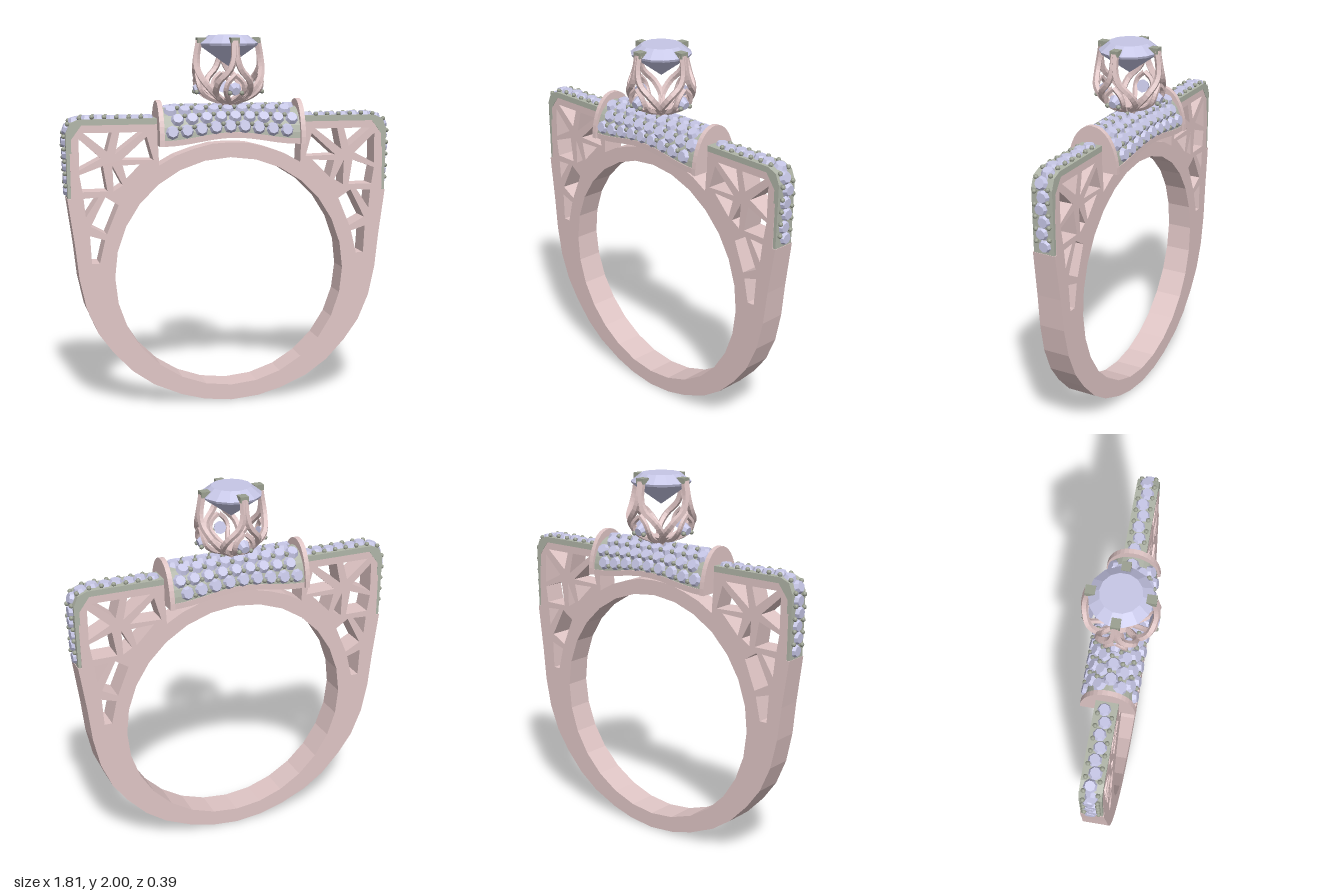
import * as THREE from 'three';
import { mergeGeometries } from 'three/addons/utils/BufferGeometryUtils.js';

const mat = (color, side = THREE.FrontSide) =>
  new THREE.MeshStandardMaterial({ color, flatShading: true, side });
const metal = mat(0xdec4c4);
const setting = mat(0xb0b5a8, THREE.DoubleSide);
const beadMat = mat(0x9a9f90);
const gem = mat(0xc6c6e6);

const V = (x, y, z = 0) => new THREE.Vector3(x, y, z);
const UP = V(0, 1, 0);

function add(parent, name, geometry, material) {
  const mesh = new THREE.Mesh(geometry, material);
  mesh.name = name;
  parent.add(mesh);
  return mesh;
}

// Extrusion centred on z = 0
function slab(shape, depth) {
  return new THREE.ExtrudeGeometry(shape, { depth, bevelEnabled: false, curveSegments: 10 })
    .translate(0, 0, -depth / 2);
}
const polygon = (pts, s = 1) => pts.map(([x, y]) => new THREE.Vector2(x * s, y));

// Small geometry seated at a point and turned to the surface normal
function seat(geometry, pos, normal, spin = 0) {
  const q = new THREE.Quaternion().setFromUnitVectors(UP, normal);
  return geometry.rotateY(spin)
    .applyMatrix4(new THREE.Matrix4().compose(pos, q, V(1, 1, 1)));
}
const stoneGeo = (r = 0.044, h = 0.034) => new THREE.CylinderGeometry(r * 0.6, r, h, 8);
const beadGeo = () => new THREE.IcosahedronGeometry(0.0125, 1);

// Half of the band outline, from the bottom up to the top of the finger band
const OUTLINE = [
  [0, 0.005], [0.15, 0.02], [0.28, 0.055], [0.43, 0.12], [0.545, 0.2], [0.65, 0.31],
  [0.73, 0.42], [0.79, 0.56], [0.825, 0.72], [0.845, 0.9], [0.88, 1.15], [0.86, 1.15],
  [0.863, 1.46], [0.845, 1.52], [0.8, 1.55], [0.4, 1.55], [0.39, 1.315],
  [0.3, 1.365], [0.2, 1.4], [0.1, 1.425], [0, 1.43],
];
// Openings of one lattice shoulder
const WINDOWS = [
  [[0.79, 1.495], [0.64, 1.495], [0.667, 1.395]],
  [[0.815, 1.465], [0.7, 1.36], [0.815, 1.3]],
  [[0.6, 1.495], [0.475, 1.495], [0.625, 1.38]],
  [[0.455, 1.47], [0.42, 1.345], [0.59, 1.35]],
  [[0.585, 1.32], [0.46, 1.325], [0.56, 1.225]],
  [[0.815, 1.275], [0.69, 1.32], [0.668, 1.185], [0.8, 1.185]],
  [[0.64, 1.32], [0.585, 1.215], [0.635, 1.185]],
  [[0.795, 1.15], [0.715, 1.155], [0.785, 1.05]],
  [[0.68, 1.155], [0.61, 1.11], [0.675, 0.955], [0.76, 1.0]],
  [[0.765, 0.95], [0.685, 0.925], [0.715, 0.8], [0.757, 0.8]],
];

function buildBand(root) {
  const left = OUTLINE.slice(1, -1).reverse();
  const shape = new THREE.Shape([...polygon(OUTLINE), ...polygon(left, -1)]);
  const finger = [];
  for (let i = 0; i < 28; i++) {
    const a = (i / 28) * Math.PI * 2;
    finger.push(new THREE.Vector2(0.635 * Math.cos(a), 0.72 + 0.63 * Math.sin(a)));
  }
  shape.holes.push(new THREE.Path(finger));
  for (const s of [1, -1])
    for (const w of WINDOWS) shape.holes.push(new THREE.Path(polygon(w, s)));
  const g = slab(shape, 2);
  // Thicker at the bottom, slimmer at the top
  const p = g.attributes.position;
  for (let i = 0; i < p.count; i++) p.setZ(i, p.getZ(i) * (0.083 - 0.018 * p.getY(i)));
  g.computeVertexNormals();
  add(root, 'bandWithLatticeShoulders', g, metal);
}

function buildShoulder(root, s) {
  const group = new THREE.Group();
  group.name = s > 0 ? 'leftShoulderPave' : 'rightShoulderPave';
  root.add(group);
  const channel = [
    [0.4, 1.566], [0.81, 1.566], [0.86, 1.545], [0.883, 1.49], [0.877, 1.15],
    [0.85, 1.15], [0.855, 1.46], [0.8, 1.535], [0.4, 1.535],
  ];
  add(group, 'channel', slab(new THREE.Shape(polygon(channel, s)), 0.116), setting);

  const path = new THREE.CatmullRomCurve3([
    V(0.41, 1.565), V(0.6, 1.565), V(0.8, 1.565), V(0.858, 1.545),
    V(0.882, 1.49), V(0.88, 1.33), V(0.876, 1.16),
  ]);
  const stones = [], beads = [];
  const n = 13;
  const place = (t, z, lift) => {
    const p = path.getPointAt(t), d = path.getTangentAt(t);
    const normal = V(-d.y * s, d.x, 0);
    p.x *= s;
    return [p.setZ(z).addScaledVector(normal, lift), normal];
  };
  for (let i = 0; i < n; i++) {
    stones.push(seat(stoneGeo(), ...place((i + 0.5) / n, i % 2 ? 0.007 : -0.007, 0), i * 0.7));
    if (i) for (const z of [-0.037, 0.037])
      beads.push(seat(beadGeo(), ...place((i + (z > 0 ? 0.12 : -0.12)) / n, z, 0.008)));
  }
  add(group, 'stones', mergeGeometries(stones), gem);
  add(group, 'beads', mergeGeometries(beads), beadMat);
}

// Saddle surface: arched cross-section with a lower edge that rises mid-way
const lowerEdge = (x) => 1.445 + 0.04 * (0.5 + 0.5 * Math.cos((x / 0.37) * Math.PI));
function saddlePoint(x, a) {
  const b = lowerEdge(x);
  return V(x, b + (1.618 - b) * Math.sin(a), 0.128 * Math.cos(a));
}
function saddleNormal(x, a) {
  return V(0, 0.128 * Math.sin(a), (1.618 - lowerEdge(x)) * Math.cos(a)).normalize();
}

function buildSaddle(root) {
  const group = new THREE.Group();
  group.name = 'saddle';
  root.add(group);
  const g = new THREE.PlaneGeometry(0.74, 1, 16, 14);
  const p = g.attributes.position;
  for (let i = 0; i < p.count; i++) {
    const v = saddlePoint(p.getX(i), (p.getY(i) + 0.5) * Math.PI);
    p.setXYZ(i, v.x, v.y, v.z);
  }
  add(group, 'saddleShell', g, setting);

  // Arched rail closing the underside
  const top = [], bottom = [];
  for (let i = 0; i <= 16; i++) {
    const x = -0.37 + (0.74 * i) / 16;
    top.push([x, lowerEdge(x) + 0.006]);
    bottom.unshift([x, lowerEdge(x) - 0.024]);
  }
  add(group, 'lowerRail', slab(new THREE.Shape(polygon([...top, ...bottom])), 0.262), metal);

  // Domed end plates
  const dome = new THREE.Shape();
  dome.moveTo(-0.143, 1.422);
  dome.lineTo(0.143, 1.422);
  dome.bezierCurveTo(0.14, 1.54, 0.09, 1.658, 0, 1.658);
  dome.bezierCurveTo(-0.09, 1.658, -0.14, 1.54, -0.143, 1.422);
  for (const s of [1, -1]) {
    const plate = add(group, s > 0 ? 'leftEndPlate' : 'rightEndPlate', slab(dome, 0.026), metal);
    plate.rotation.y = Math.PI / 2;
    plate.position.x = s * 0.385;
  }

  // Staggered stones with beads between them
  const stones = [], beads = [];
  const rows = 7, cols = 9;
  for (let r = 0; r < rows; r++) {
    const a = Math.PI * (0.09 + (0.82 * r) / (rows - 1));
    for (let c = 0; c < cols; c++) {
      const x = (c - (cols - 1) / 2) * 0.078 + (r % 2 ? 0.016 : -0.016);
      stones.push(seat(stoneGeo(0.045, 0.036), saddlePoint(x, a), saddleNormal(x, a), r + c * 0.8));
      const bx = x + 0.039, ba = a + 0.1;
      if (c < cols - 1) beads.push(seat(beadGeo(),
        saddlePoint(bx, ba).addScaledVector(saddleNormal(bx, ba), 0.01), UP));
    }
  }
  add(group, 'saddleStones', mergeGeometries(stones), gem);
  add(group, 'saddleBeads', mergeGeometries(beads), beadMat);
}

function buildHead(root) {
  const group = new THREE.Group();
  group.name = 'head';
  root.add(group);
  const profile = [[0, 1.835], [0.155, 1.945], [0.16, 1.957], [0.105, 2], [0, 2]];
  add(group, 'centreStone', new THREE.LatheGeometry(polygon(profile), 14), gem);
  const cup = [[0, 1.6], [0.035, 1.61], [0.045, 1.635], [0.07, 1.665], [0, 1.665]];
  add(group, 'headBase', new THREE.LatheGeometry(polygon(cup), 12), metal);

  // Ribbon through points given as [angle in degrees, height, radius]
  const ribbon = (pts, r) => new THREE.TubeGeometry(new THREE.CatmullRomCurve3(
    pts.map(([d, y, rad]) => {
      const a = THREE.MathUtils.degToRad(d);
      return V(rad * Math.sin(a), y, rad * Math.cos(a));
    })), 18, r, 5);

  const strands = [], petals = [], tips = [], stones = [], beads = [];
  for (let k = 0; k < 4; k++) {
    const d = k * 90, a = THREE.MathUtils.degToRad(d);
    const out = V(Math.sin(a), 0, Math.cos(a));
    for (const s of [1, -1]) {
      strands.push(ribbon([[d + s * 2, 1.97, 0.16], [d + s * 3, 1.88, 0.175],
        [d + s * 10, 1.82, 0.178], [d + s * 30, 1.755, 0.172],
        [d + s * 44, 1.69, 0.125], [d + s * 45, 1.64, 0.03]], 0.018));
      petals.push(ribbon([[d, 1.795, 0.172], [d + s * 13, 1.755, 0.178],
        [d + s * 17, 1.715, 0.17], [d + s * 14, 1.675, 0.125], [d, 1.64, 0.04]], 0.014));
      beads.push(seat(beadGeo(), out.clone().multiplyScalar(0.18)
        .add(V(Math.cos(a) * s * 0.032, 1.7, -Math.sin(a) * s * 0.032)), UP));
    }
    tips.push(new THREE.BoxGeometry(0.046, 0.03, 0.05).translate(0, 1.972, 0.148).rotateY(a));
    const normal = out.clone().setY(-0.3).normalize();
    stones.push(seat(stoneGeo(0.036, 0.04), out.clone().multiplyScalar(0.168).setY(1.715), normal));
  }
  add(group, 'prongStrands', mergeGeometries(strands), metal);
  add(group, 'petals', mergeGeometries(petals), metal);
  add(group, 'prongTips', mergeGeometries(tips), beadMat);
  add(group, 'petalStones', mergeGeometries(stones), gem);
  add(group, 'petalBeads', mergeGeometries(beads), beadMat);
}

export function createModel() {
  const root = new THREE.Group();
  root.name = 'ring';
  buildBand(root);
  for (const s of [1, -1]) buildShoulder(root, s);
  buildSaddle(root);
  buildHead(root);
  return root;
}
